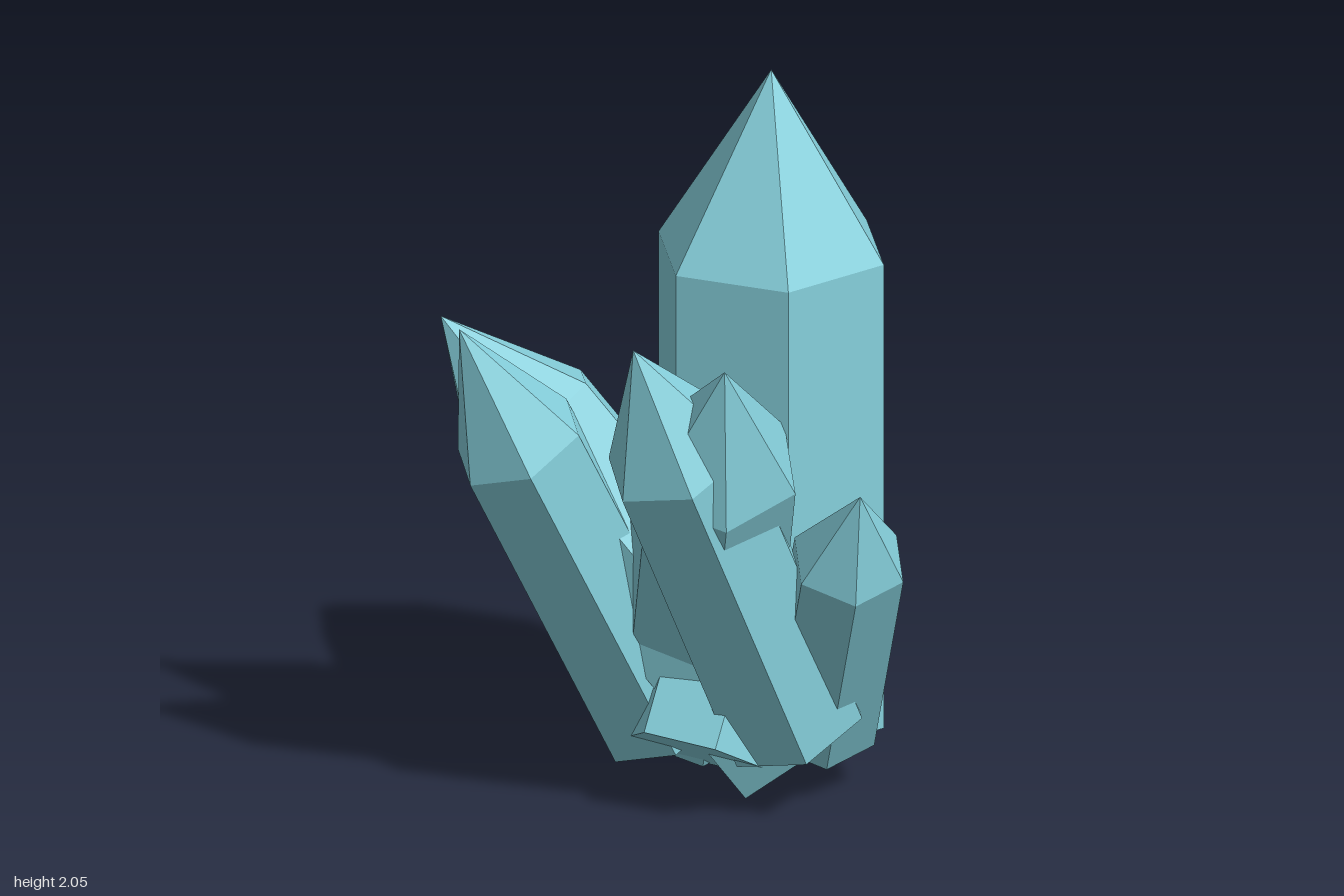
import * as THREE from 'three';
import { mergeGeometries } from 'three/addons/utils/BufferGeometryUtils.js';

const UP = new THREE.Vector3(0, 1, 0);

// Six-sided prism with a pointed cap, standing on its base centre, faceted normals
function crystalGeometry(radius, prism, cap) {
  const body = new THREE.CylinderGeometry(radius, radius, prism, 6, 1, true, Math.PI / 6);
  body.translate(0, prism / 2, 0);
  const point = new THREE.ConeGeometry(radius, cap, 6, 1, true, Math.PI / 6);
  point.translate(0, prism + cap / 2, 0);
  const base = new THREE.CircleGeometry(radius, 6);
  base.rotateX(Math.PI / 2);
  const geometry = mergeGeometries([body, point, base]).toNonIndexed();
  geometry.computeVertexNormals();
  return geometry;
}

// shoulder: centre of the ring where the prism meets the cap; axis: growth direction
const CRYSTALS = [
  { name: 'mainCrystal', shoulder: [0.28, 1.48, -0.005], axis: [0, 1, 0], radius: 0.328, prism: 1.35, cap: 0.52 },
  { name: 'leaningSideCrystal', shoulder: [-0.42, 1.02, -0.22], axis: [-0.46, 0.905, -0.05], radius: 0.187, prism: 1.015, cap: 0.415 },
  { name: 'backCrystal', shoulder: [-0.245, 0.98, -0.4], axis: [-0.42, 0.77, -0.485], radius: 0.222, prism: 1.16, cap: 0.376 },
  { name: 'middleCrystal', shoulder: [-0.2, 1.06, 0.2], axis: [-0.42, 0.907, 0.02], radius: 0.21, prism: 0.97, cap: 0.384 },
  { name: 'frontCrystal', shoulder: [-0.1, 1.02, 0.235], axis: [-0.26, 0.86, 0.43], radius: 0.235, prism: 1.03, cap: 0.405 },
  { name: 'smallFrontCrystal', shoulder: [0.19, 0.738, 0.45], axis: [-0.218, 0.862, 0.455], radius: 0.161, prism: 0.715, cap: 0.275 },
  { name: 'buriedCrystal', shoulder: [0.387, 0.785, -0.1], axis: [0.49, 0.84, -0.19], radius: 0.21, prism: 0.81, cap: 0.22 },
];

export function createModel() {
  const group = new THREE.Group();
  group.name = 'crystalCluster';
  const crystalBlue = new THREE.MeshStandardMaterial({ color: 0x86d0dc, flatShading: true });
  crystalBlue.name = 'crystalBlue';

  for (const { name, shoulder, axis, radius, prism, cap } of CRYSTALS) {
    const mesh = new THREE.Mesh(crystalGeometry(radius, prism, cap), crystalBlue);
    const direction = new THREE.Vector3(...axis).normalize();
    mesh.name = name;
    mesh.quaternion.setFromUnitVectors(UP, direction);
    mesh.position.set(...shoulder).addScaledVector(direction, -prism);
    group.add(mesh);
  }
  return group;
}
